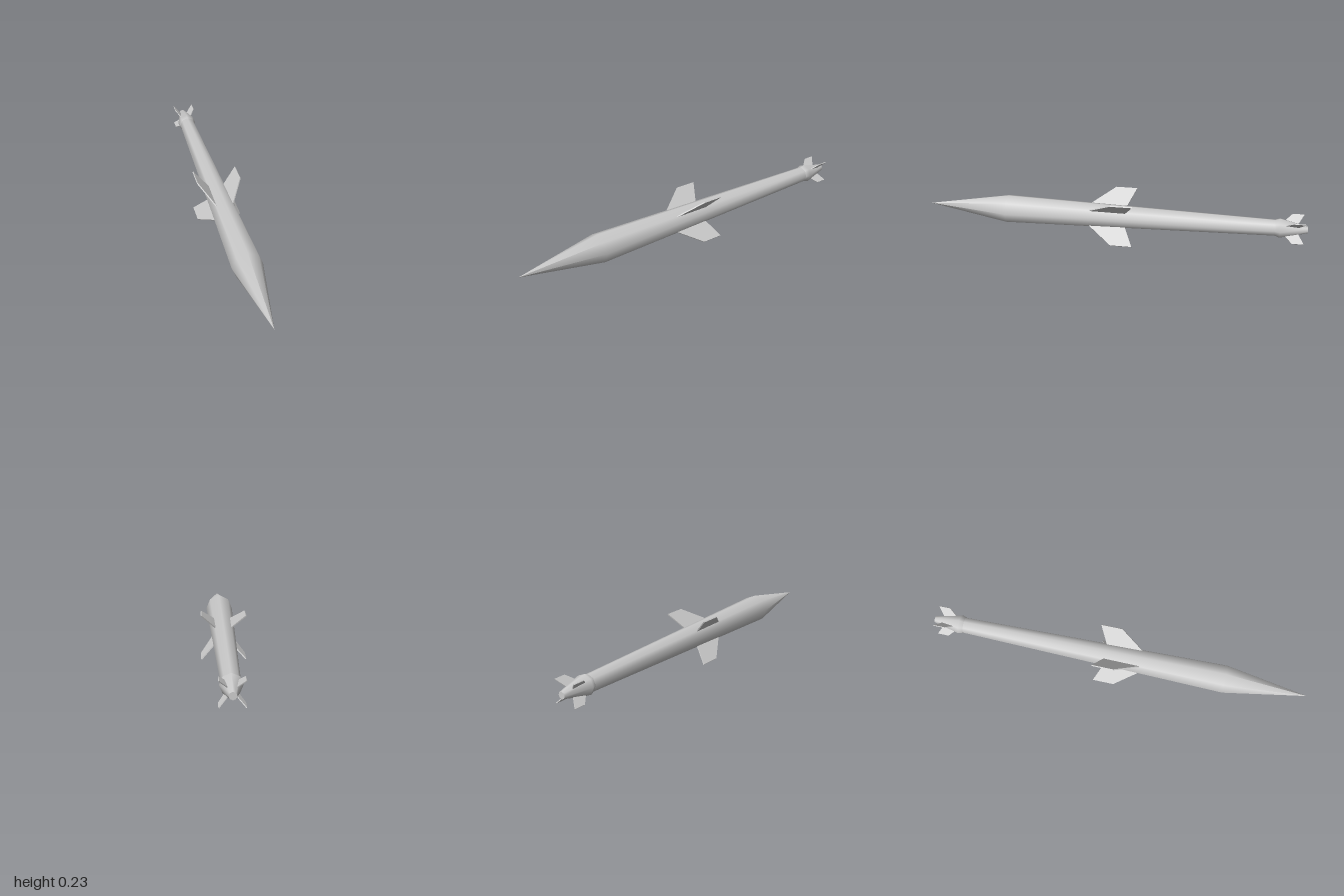
import * as THREE from 'three';

const AXIS_Y = 0.117;

// Thin plate outlined by [radius, z] corners, standing out along +x from the body axis
function finGeometry(corners, thickness) {
  const shape = new THREE.Shape(corners.map(([r, z]) => new THREE.Vector2(r, z)));
  const geo = new THREE.ExtrudeGeometry(shape, { depth: thickness, bevelEnabled: false });
  geo.translate(0, 0, -thickness / 2);
  geo.rotateX(Math.PI / 2); // shape y becomes z
  return geo;
}

export function createModel() {
  const group = new THREE.Group();
  group.name = 'missile';
  const material = new THREE.MeshStandardMaterial({ color: 0xcccccc });

  const add = (name, geo) => {
    const mesh = new THREE.Mesh(geo, material);
    mesh.name = name;
    mesh.position.y = AXIS_Y;
    group.add(mesh);
    return mesh;
  };

  // Eight-sided turned section from [radius, z] points, rear to front
  const turned = (name, profile) => {
    const geo = new THREE.LatheGeometry(profile.map(([r, z]) => new THREE.Vector2(r, z)), 8);
    geo.rotateX(Math.PI / 2);
    return add(name, geo);
  };

  // Pointed nose and tapering fuselage, flared tail cone
  turned('fuselage', [[0.043, -0.85], [0.076, 0.57], [0, 1]]);
  turned('tailCone', [[0.018, -1], [0.052, -0.86], [0.043, -0.835]]);

  // Flat rear end
  const cap = new THREE.CircleGeometry(0.018, 8);
  cap.rotateY(Math.PI);
  cap.translate(0, 0, -1);
  add('rearCap', cap);

  // Two sets of four swept fins on the diagonals
  const wing = finGeometry([[0.058, 0.13], [0.162, 0], [0.162, -0.112], [0.058, -0.067]], 0.006);
  const tailFin = finGeometry([[0.026, -0.87], [0.08, -0.923], [0.08, -0.983], [0.026, -0.952]], 0.004);
  for (let i = 0; i < 4; i++) {
    const angle = Math.PI / 4 + (i * Math.PI) / 2;
    add('wing' + (i + 1), wing).rotation.z = angle;
    add('tailFin' + (i + 1), tailFin).rotation.z = angle;
  }
  return group;
}
